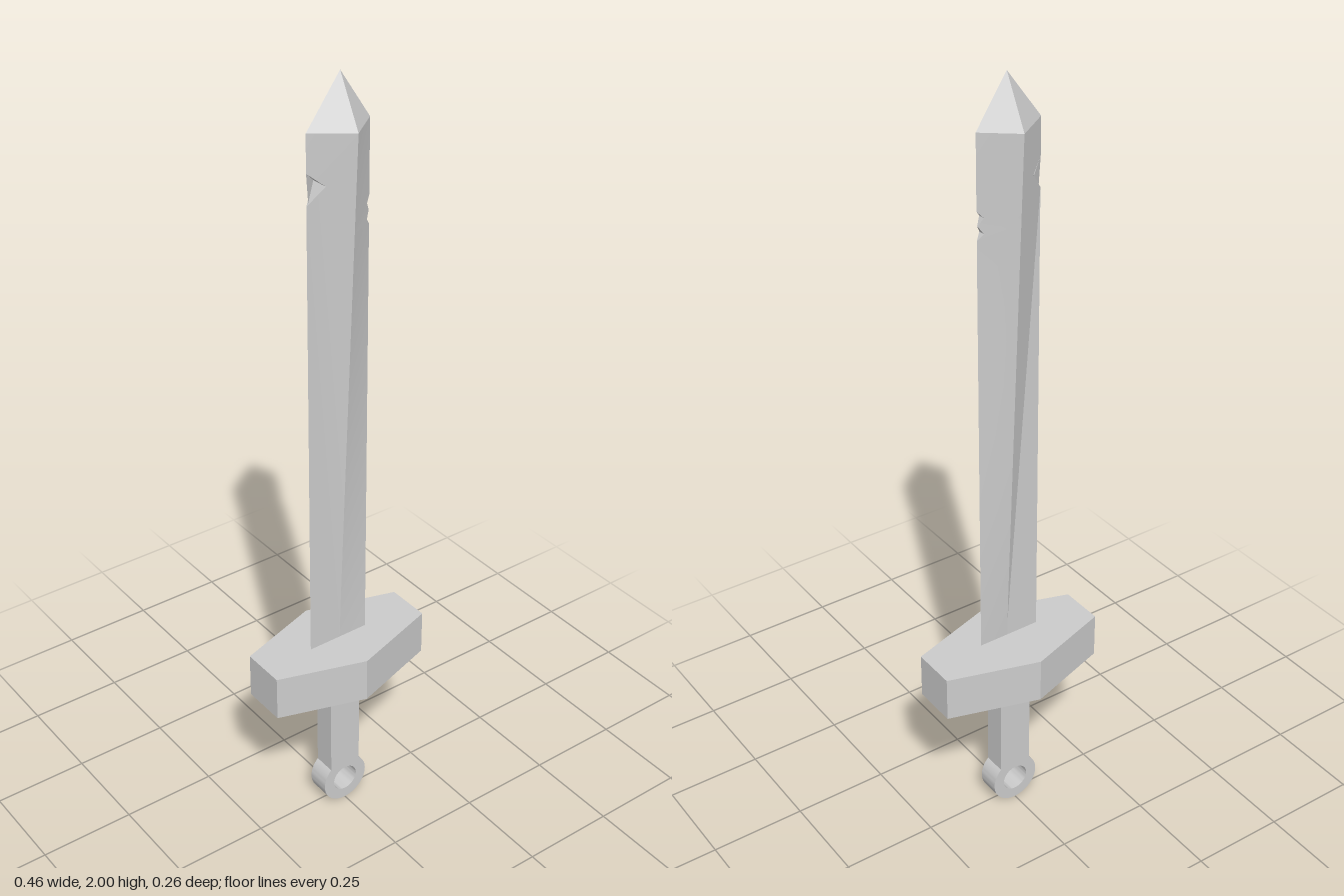
import * as THREE from 'three';
import { toCreasedNormals } from 'three/addons/utils/BufferGeometryUtils.js';

const material = new THREE.MeshStandardMaterial({ color: 0xcccccc, side: THREE.DoubleSide });
const BASE = 0.52, SHOULDER = 1.88, ZC = 0.008, HALF = 0.065;

function addMesh(group, name, geometry, crease = 0.5) {
  const mesh = new THREE.Mesh(toCreasedNormals(geometry, crease), material);
  mesh.name = name;
  group.add(mesh);
}

// Collects triangles, dropping those with no area
function triangleList() {
  const positions = [];
  const tri = (a, b, c) => {
    const area = new THREE.Triangle(
      new THREE.Vector3(...a), new THREE.Vector3(...b), new THREE.Vector3(...c)).getArea();
    if (area > 1e-8) positions.push(...a, ...b, ...c);
  };
  const quad = (a, b, c, d) => { tri(a, b, c); tri(a, c, d); };
  const geometry = () => {
    const g = new THREE.BufferGeometry();
    g.setAttribute('position', new THREE.Float32BufferAttribute(positions, 3));
    return g;
  };
  return { tri, quad, geometry };
}

// Point on the central ridge, which swells from nothing at the guard to full depth at the shoulder
function ridge(y, face) {
  const t = Math.max(0, (y - 0.55) / (SHOULDER - 0.55));
  return [0, y, ZC + face * HALF * t];
}

// Half a blade; each row is [edge x, edge y, half thickness at the edge, ridge y]
function bladeHalf(rows, side) {
  const { quad, geometry } = triangleList();
  for (let i = 0; i + 1 < rows.length; i++) {
    const [p, q] = [rows[i], rows[i + 1]];
    const edge = (r, face) => [r[0], r[1], ZC + face * r[2]];
    for (const face of [1, -1]) {
      const a = edge(p, face), b = ridge(p[3], face), c = ridge(q[3], face), d = edge(q, face);
      if (side * face < 0) {
        quad(a, b, c, d);
        // reversed order keeps the outside facing out
      } else quad(d, c, b, a);
    }
    // walls inside the nicks
    const w = [edge(p, 1), edge(p, -1), edge(q, -1), edge(q, 1)];
    if (side < 0) w.reverse();
    quad(...w);
  }
  return geometry();
}

export function createModel() {
  const model = new THREE.Group();
  model.name = 'sword';

  // Handle and pommel ring, one extruded outline
  const outline = new THREE.Shape();
  const ringY = 0.066, ringR = 0.066, gripX = 0.045;
  const a = Math.acos(gripX / ringR);
  outline.moveTo(gripX, 0.4);
  outline.lineTo(gripX, ringY + ringR * Math.sin(a));
  outline.absarc(0, ringY, ringR, a, Math.PI - a, true);
  outline.lineTo(-gripX, 0.4);
  outline.holes.push(new THREE.Path().absarc(0, ringY, 0.036, 0, Math.PI * 2, false));
  const handle = new THREE.ExtrudeGeometry(outline, { depth: 0.06, bevelEnabled: false, curveSegments: 24 });
  handle.translate(0, 0, -0.028);
  addMesh(model, 'handleWithRing', handle);

  // Hexagonal guard, extruded upwards
  const hexagon = new THREE.Shape([
    [0.228, 0.06], [-0.005, 0.131], [-0.228, 0.06],
    [-0.228, -0.057], [-0.005, -0.129], [0.228, -0.057],
  ].map(([x, y]) => new THREE.Vector2(x, y)));
  const guard = new THREE.ExtrudeGeometry(hexagon, { depth: BASE - 0.4, bevelEnabled: false });
  guard.rotateX(-Math.PI / 2).translate(0, 0.4, 0);
  addMesh(model, 'guard', guard, 0.2);

  // Right blade half, with one large nick
  addMesh(model, 'bladeRightHalf', bladeHalf([
    [-0.09, BASE, 0, BASE], [-0.09, BASE, 0, 0.55], [-0.09, 1.715, 0, 0.55],
    [-0.055, 1.76, 0.024, 0.55], [-0.09, 1.79, 0, SHOULDER], [-0.09, SHOULDER, 0, SHOULDER],
  ], -1));

  // Left blade half, a gently twisted strip with two small nicks
  const rows = [];
  for (let i = 0; i <= 10; i++) {
    const y = BASE + (1.63 - BASE) * i / 10;
    rows.push([0.08, y, 0, y]);
  }
  for (const [x, y, t] of [
    [0.067, 1.647, 0.009], [0.078, 1.665, 0.001], [0.067, 1.685, 0.009],
    [0.08, 1.7, 0], [0.08, 1.79, 0], [0.08, SHOULDER, 0],
  ]) rows.push([x, y, t, y]);
  addMesh(model, 'bladeLeftHalf', bladeHalf(rows, 1));

  // Four-sided point
  const { tri, geometry } = triangleList();
  const rim = [[0.08, SHOULDER, ZC], ridge(SHOULDER, 1), [-0.09, SHOULDER, ZC], ridge(SHOULDER, -1)];
  rim.forEach((p, i) => tri([0, 2, ZC], rim[(i + 1) % 4], p));
  addMesh(model, 'bladePoint', geometry(), 0.1);

  return model;
}
